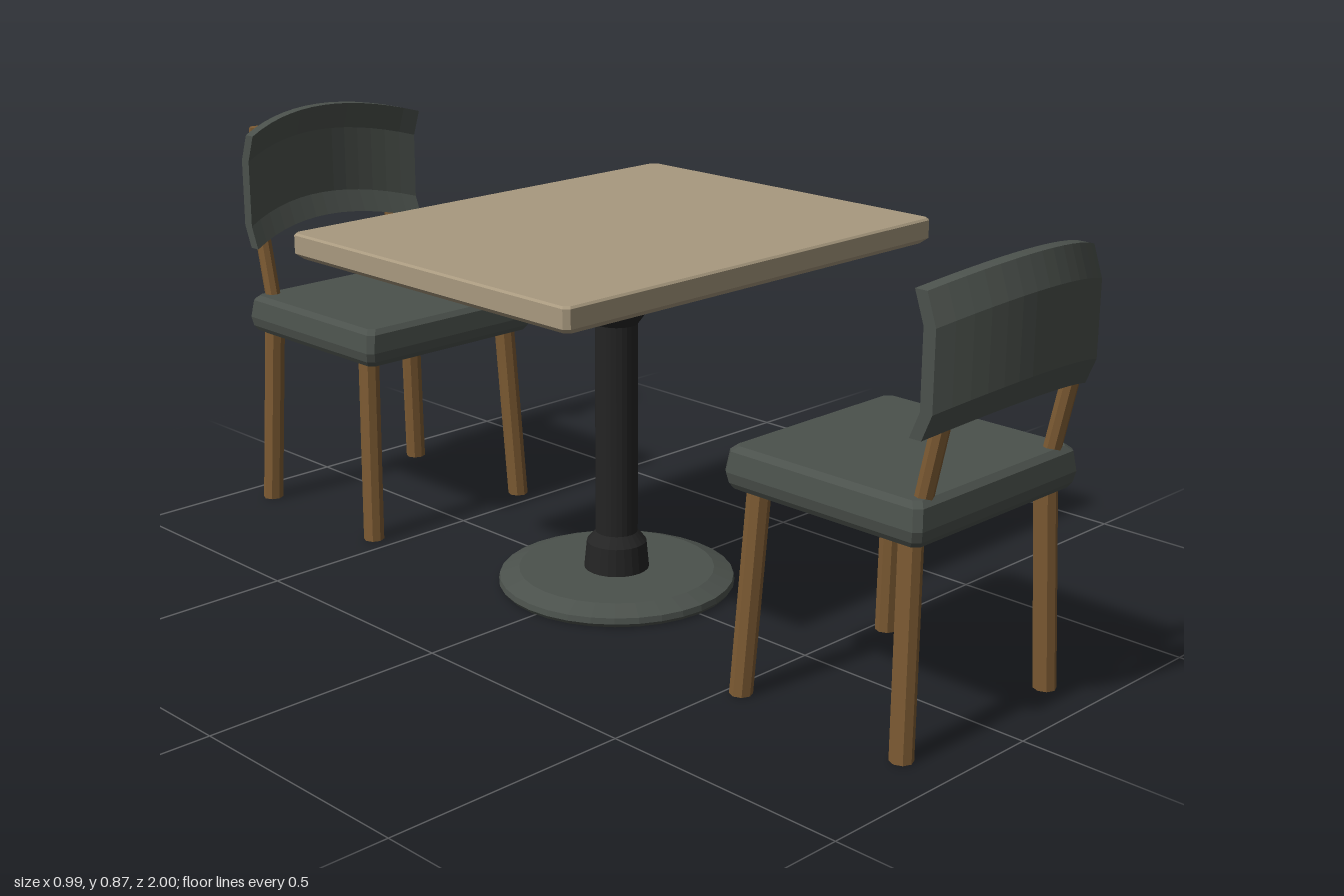
import * as THREE from 'three';
import { ConvexGeometry } from 'three/addons/geometries/ConvexGeometry.js';

const material = (name, color) => {
  const m = new THREE.MeshStandardMaterial({ color });
  m.name = name;
  return m;
};

// Split faces and give each its own normal for crisp facets
function faceted(geo) {
  const g = geo.index ? geo.toNonIndexed() : geo;
  g.computeVertexNormals();
  return g;
}

function part(name, geo, mat, parent) {
  const mesh = new THREE.Mesh(faceted(geo), mat);
  mesh.name = name;
  parent.add(mesh);
  return mesh;
}

// Convex slab from levels [y, halfWidth, halfDepth], with clipped corners
function slab(levels, corner) {
  const pts = [];
  for (const [y, w, d] of levels)
    for (const sx of [-1, 1])
      for (const sz of [-1, 1]) {
        pts.push(new THREE.Vector3(sx * w, y, sz * (d - corner)));
        pts.push(new THREE.Vector3(sx * (w - corner), y, sz * d));
      }
  return new ConvexGeometry(pts);
}

// Closed eight-sided rod through points listed from bottom to top
function rod(points, r) {
  const n = points.length - 1;
  const geo = new THREE.CylinderGeometry(r, r, 1, 8, n);
  const p = geo.attributes.position;
  for (let i = 0; i < p.count; i++) {
    const [x, y, z] = points[Math.round((p.getY(i) + 0.5) * n)];
    p.setXYZ(i, p.getX(i) + x, y, p.getZ(i) + z);
  }
  return geo;
}

// Backrest bowed across its width, with top and bottom bands leaning in
function backrestGeometry() {
  const geo = new THREE.BoxGeometry(0.46, 3, 0.025, 14, 3, 1);
  const heights = [0.62, 0.668, 0.812, 0.87];
  const lean = [0.02, 0, 0, 0.02];
  const p = geo.attributes.position;
  for (let i = 0; i < p.count; i++) {
    const row = Math.round(p.getY(i) + 1.5);
    const s = (p.getX(i) / 0.23) ** 2;
    p.setY(i, heights[row] - 0.035 * s);
    p.setZ(i, p.getZ(i) + 0.9875 - 0.052 * s - lean[row]);
  }
  return geo;
}

// Chair with its back toward +z; shift moves the frame but not the backrest
function makeChair(name, shift, mats) {
  const chair = new THREE.Group();
  chair.name = name;
  const frame = new THREE.Group();
  frame.name = 'chairFrame';
  frame.position.z = shift;
  chair.add(frame);

  const seat = part('seat', slab([
    [0.394, 0.219, 0.209], [0.405, 0.226, 0.216], [0.425, 0.23, 0.22],
    [0.463, 0.224, 0.215], [0.473, 0.213, 0.204],
  ], 0.012), mats.upholstery, frame);
  seat.position.z = 0.7225;

  for (const side of [-1, 1]) {
    part('frontLeg', rod([[side * 0.208, 0, 0.54], [side * 0.19, 0.41, 0.56]], 0.022), mats.wood, frame);
    part('backLeg', rod([[side * 0.208, 0, 0.911], [side * 0.19, 0.41, 0.898]], 0.022), mats.wood, frame);
    const x = side * 0.181;
    part('backPost', rod([
      [x, 0.42, 0.9], [x, 0.47, 0.914], [x, 0.6, 0.942], [x, 0.67, 0.959],
      [x, 0.77, 0.959], [x, 0.843, 0.943],
    ], 0.017), mats.wood, frame);
  }
  part('backrest', backrestGeometry(), mats.upholstery, chair);
  return chair;
}

export function createModel() {
  const mats = {
    tabletop: material('tan tabletop', 0xa8997f),
    upholstery: material('grey green', 0x4b514c),
    wood: material('brown wood', 0x7d5b33),
    metal: material('black metal', 0x242424),
  };
  const model = new THREE.Group();
  model.name = 'diningSet';

  // Table
  const table = new THREE.Group();
  table.name = 'table';
  table.position.z = -0.0125;
  model.add(table);
  part('tabletop', slab([
    [0.699, 0.482, 0.378], [0.71, 0.495, 0.39], [0.746, 0.495, 0.39], [0.75, 0.491, 0.386],
  ], 0.01), mats.tabletop, table);

  const lathe = (profile, segments) =>
    new THREE.LatheGeometry(profile.map(([r, y]) => new THREE.Vector2(r, y)), segments);
  part('baseDisc', lathe([
    [0, 0], [0.236, 0], [0.242, 0.008], [0.24, 0.02], [0.2, 0.035], [0, 0.036],
  ], 32), mats.upholstery, table);
  part('pedestal', lathe([
    [0, 0.03], [0.067, 0.03], [0.061, 0.092], [0.043, 0.113],
    [0.043, 0.552], [0.125, 0.665], [0, 0.665],
  ], 24), mats.metal, table);

  // Two chairs facing the table
  model.add(makeChair('frontChair', -0.0125, mats));
  const rear = makeChair('rearChair', 0.0125, mats);
  rear.rotation.y = Math.PI;
  model.add(rear);
  return model;
}
